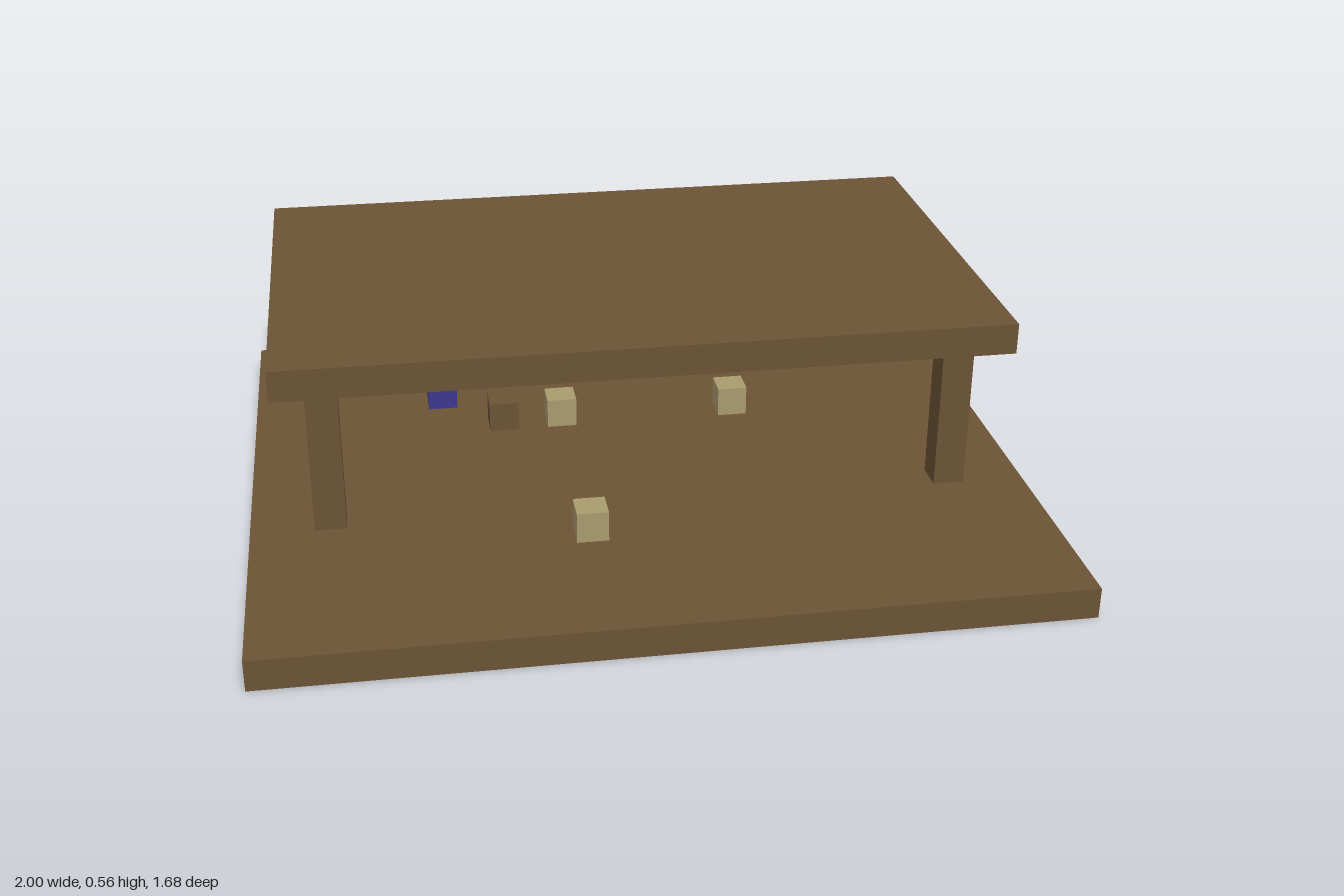
import * as THREE from 'three';

export function createModel() {
  const model = new THREE.Group();
  model.name = 'openPavilion';

  const mat = (name, color) => {
    const m = new THREE.MeshStandardMaterial({ color });
    m.name = name;
    return m;
  };
  const wood = mat('brownWood', 0x6b5335);
  const sand = mat('paleSand', 0xa99b6e);
  const blue = mat('deepBlue', 0x3c388e);

  // Box placed by its centre in x and z and by its underside in y
  const box = (name, material, w, h, d, x, y, z) => {
    const mesh = new THREE.Mesh(new THREE.BoxGeometry(w, h, d), material);
    mesh.name = name;
    mesh.position.set(x, y + h / 2, z);
    model.add(mesh);
  };

  const u = 0.08; // thickness of every plank, post and block

  // Floor and roof slabs
  box('floor', wood, 2, u, 1.68, 0, 0, 0);
  box('roof', wood, 1.84, u, 1.12, 0, 0.48, -0.2);

  // Four corner posts
  for (const x of [-0.8, 0.8]) {
    for (const z of [-0.64, 0.24]) box('post', wood, u, 0.4, u, x, u, z);
  }

  // Small blocks standing on the floor
  box('frontBlock', sand, u, u, u, -0.16, u, 0.4);
  box('middleBlock', sand, u, u, u, -0.16, u, -0.24);
  box('leftBlock', sand, u, u, u, 0.32, u, -0.24);
  box('woodBlock', wood, u, u, u, -0.32, u, -0.24);

  // Long blue block
  box('bed', blue, u, u, 0.16, -0.48, u, -0.44);

  // Lamp hanging under the roof
  box('ceilingLamp', sand, u, u, u, 0, 0.4, -0.16);

  return model;
}
